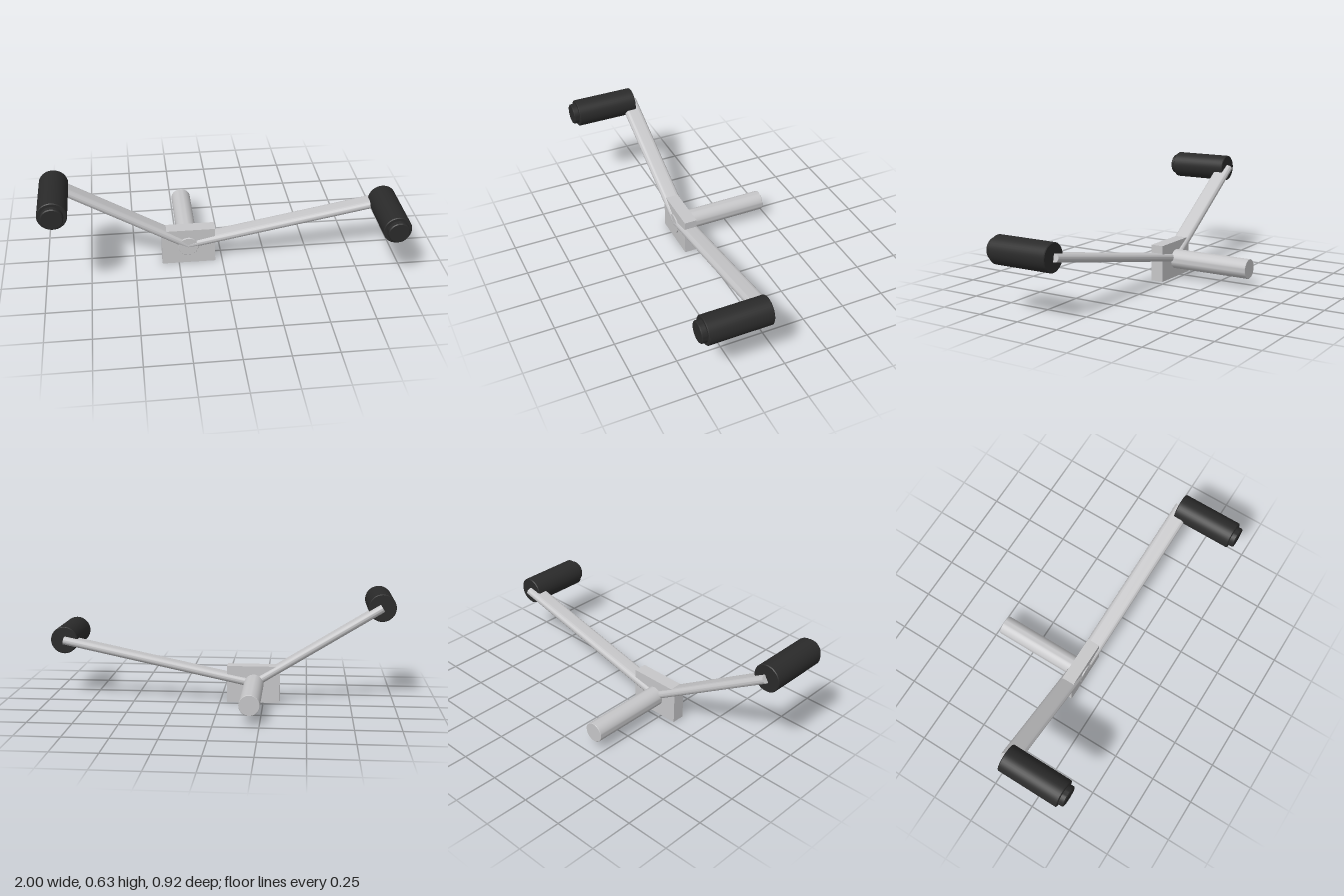
import * as THREE from 'three';
import { toCreasedNormals } from 'three/addons/utils/BufferGeometryUtils.js';

export function createModel() {
  const model = new THREE.Group();
  model.name = 'handlebar';
  const metal = new THREE.MeshStandardMaterial({ name: 'silver metal', color: 0xc6c6c8 });
  const rubber = new THREE.MeshStandardMaterial({ name: 'black rubber', color: 0x2a2a2a });

  function add(name, geometry, material, parent = model) {
    const mesh = new THREE.Mesh(geometry, material);
    mesh.name = name;
    parent.add(mesh);
    return mesh;
  }

  // Turned part along z with slightly bevelled rims
  function turned(radius, z0, z1, bevel) {
    const profile = [
      [0, z0], [radius - bevel, z0], [radius, z0 + bevel],
      [radius, z1 - bevel], [radius - bevel, z1], [0, z1],
    ].map(([r, z]) => new THREE.Vector2(r, z));
    return toCreasedNormals(new THREE.LatheGeometry(profile, 40).rotateX(Math.PI / 2), 0.6);
  }

  // Flat bar with round edges, running between two points
  function bar(from, to, width, thickness) {
    const r = thickness / 2, h = width / 2 - r;
    const section = new THREE.Shape();
    section.absarc(h, 0, r, -Math.PI / 2, Math.PI / 2, false);
    section.absarc(-h, 0, r, Math.PI / 2, Math.PI * 1.5, false);
    section.closePath();
    const along = to.clone().sub(from);
    const geometry = new THREE.ExtrudeGeometry(section, {
      depth: along.length(), bevelEnabled: false, curveSegments: 14,
    });
    along.normalize();
    const up = new THREE.Vector3(0, 0, 1).cross(along).normalize();
    up.multiplyScalar(-1);
    const across = new THREE.Vector3().crossVectors(up, along);
    geometry.applyMatrix4(new THREE.Matrix4().makeBasis(across, up, along).setPosition(from));
    return toCreasedNormals(geometry, 0.6);
  }

  // Central clamp block
  const block = add('clampBlock', new THREE.BoxGeometry(0.304, 0.214, 0.075), metal);
  block.position.set(-0.193, 0.107, 0.0625);

  // Stem through the block
  const stem = add('stem', turned(0.057, -0.46, 0.108, 0.002), metal);
  stem.position.set(-0.195, 0.109, 0);

  // Two arms, each ending in a grip
  const hub = new THREE.Vector3(-0.197, 0.113, 0.058);
  const ends = [
    ['right', -0.921, 0.555],
    ['left', 0.921, 0.34],
  ];
  for (const [side, x, y] of ends) {
    add(side + 'Arm', bar(hub, new THREE.Vector3(x, y, 0.09), 0.102, 0.046), metal);
    const grip = new THREE.Group();
    grip.name = side + 'Grip';
    grip.position.set(x, y, 0);
    model.add(grip);
    add(side + 'GripSleeve', turned(0.079, 0.07, 0.43, 0.004), rubber, grip);
    add(side + 'GripEndCap', turned(0.06, 0.42, 0.46, 0.005), rubber, grip);
  }
  return model;
}
